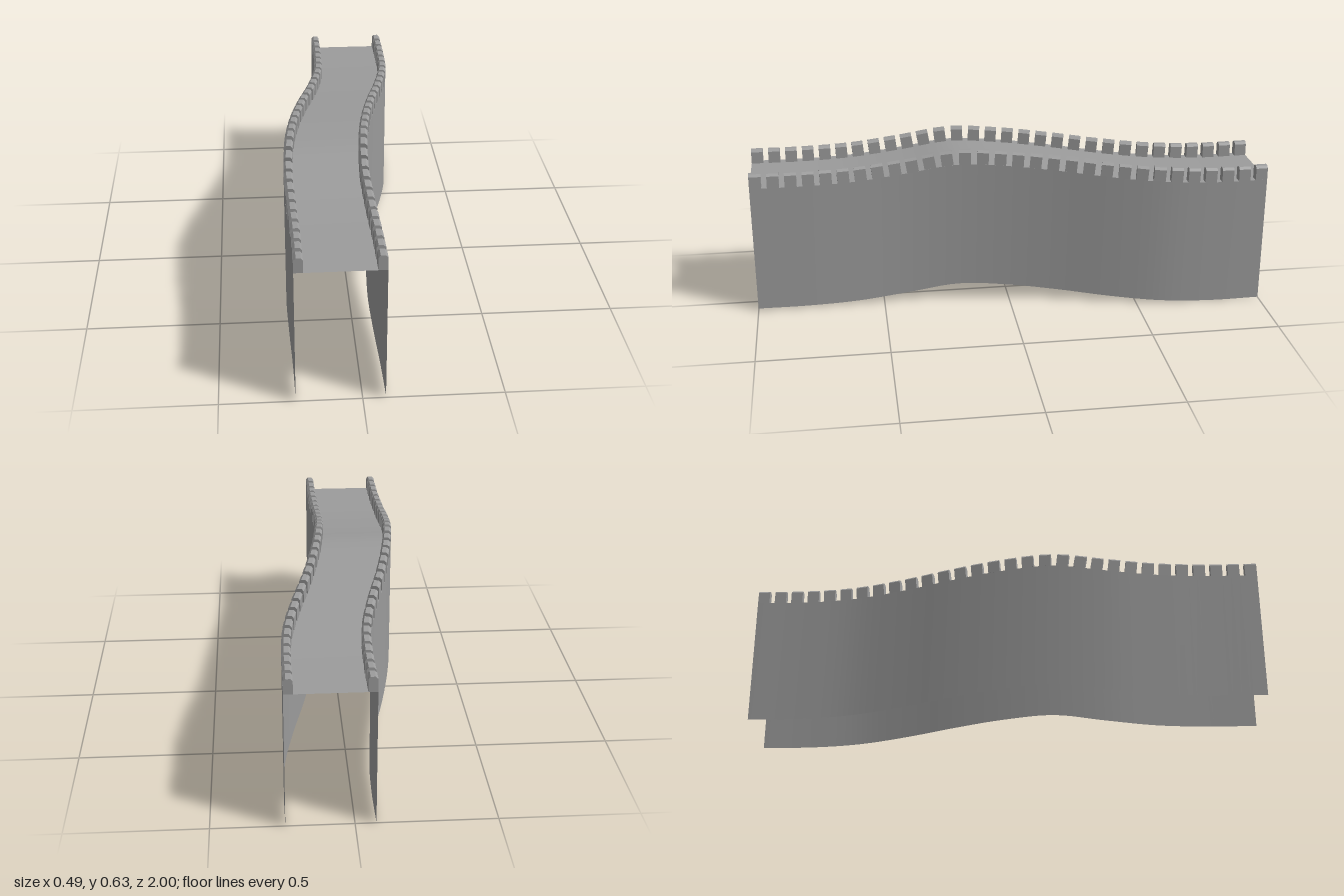
import * as THREE from 'three';

// Wall path from back (z = -1) to front (z = 1): sideways drift and ground height, every 0.2
const DRIFT = [0.083, 0.083, 0.073, 0.036, -0.012, -0.051, -0.077, -0.088, -0.084, -0.078, -0.076];
const GROUND = [0.003, 0.002, 0.01, 0.025, 0.044, 0.061, 0.067, 0.037, 0.015, 0.009, 0.01];
const path = new THREE.CatmullRomCurve3(
  DRIFT.map((x, i) => new THREE.Vector3(x, GROUND[i], -1 + i * 0.2)), false, 'catmullrom', 0.5);

const HALF = 0.157;      // half width of the wall
const DECK = 0.51;       // walkway height above the ground line
const MERLON = { count: 30, width: 0.033, height: 0.056, length: 0.046 };

// Moves a straight sheet so that it follows the winding, rising path
function followPath(geometry) {
  const pos = geometry.attributes.position;
  const p = new THREE.Vector3();
  for (let i = 0; i < pos.count; i++) {
    const z = THREE.MathUtils.clamp(pos.getZ(i), -1, 1);
    path.getPoint((z + 1) / 2, p);
    pos.setXYZ(i, pos.getX(i) + p.x, pos.getY(i) + p.y, z);
  }
  geometry.computeVertexNormals();
  return geometry;
}

// One merlon with bevelled top edges: outer face at x = 0, reaching inward, centred on z = 0
function merlonGeometry(side) {
  const { width: w, height: h, length } = MERLON;
  const section = new THREE.Shape([
    [0, 0], [w, 0], [w, h - 0.009], [w - 0.007, h], [0.009, h], [0, h - 0.009],
  ].map(([x, y]) => new THREE.Vector2(x, y)));
  const merlon = new THREE.ExtrudeGeometry(section, { depth: length, bevelEnabled: false });
  merlon.translate(0, 0, -length / 2);
  if (side > 0) merlon.rotateY(Math.PI);
  return merlon;
}

export function createModel() {
  const group = new THREE.Group();
  const sheet = new THREE.MeshStandardMaterial({ color: 0x9c9c9c, side: THREE.DoubleSide });
  const stone = new THREE.MeshStandardMaterial({ color: 0x9c9c9c, flatShading: true });
  const add = (parent, name, geometry, material) => {
    const mesh = new THREE.Mesh(geometry, material);
    mesh.name = name;
    parent.add(mesh);
    return mesh;
  };

  // Walkway
  const deck = new THREE.PlaneGeometry(HALF * 2, 2, 1, 60);
  deck.rotateX(-Math.PI / 2).translate(0, DECK, 0);
  add(group, 'walkway', followPath(deck), sheet);

  const pitch = (2 - MERLON.length) / (MERLON.count - 1);

  for (const side of [-1, 1]) {
    const label = side > 0 ? 'left' : 'right';

    // Side wall, a thin open sheet
    const wall = new THREE.PlaneGeometry(2, DECK, 60, 1);
    wall.rotateY(side * Math.PI / 2).translate(side * HALF, DECK / 2, 0);
    add(group, label + 'Wall', followPath(wall), sheet);

    // Row of merlons along the edge, each turned and tilted to the path direction
    const row = new THREE.Group();
    row.name = label + 'Battlements';
    const block = merlonGeometry(side);
    for (let i = 0; i < MERLON.count; i++) {
      const t = (MERLON.length / 2 + i * pitch) / 2;
      const direction = path.getTangent(t);
      const merlon = add(row, 'merlon', block, stone);
      merlon.position.copy(path.getPoint(t)).add(new THREE.Vector3(side * HALF, DECK, 0));
      merlon.rotation.set(-Math.asin(direction.y), Math.atan2(direction.x, direction.z), 0, 'YXZ');
    }
    group.add(row);
  }
  return group;
}
